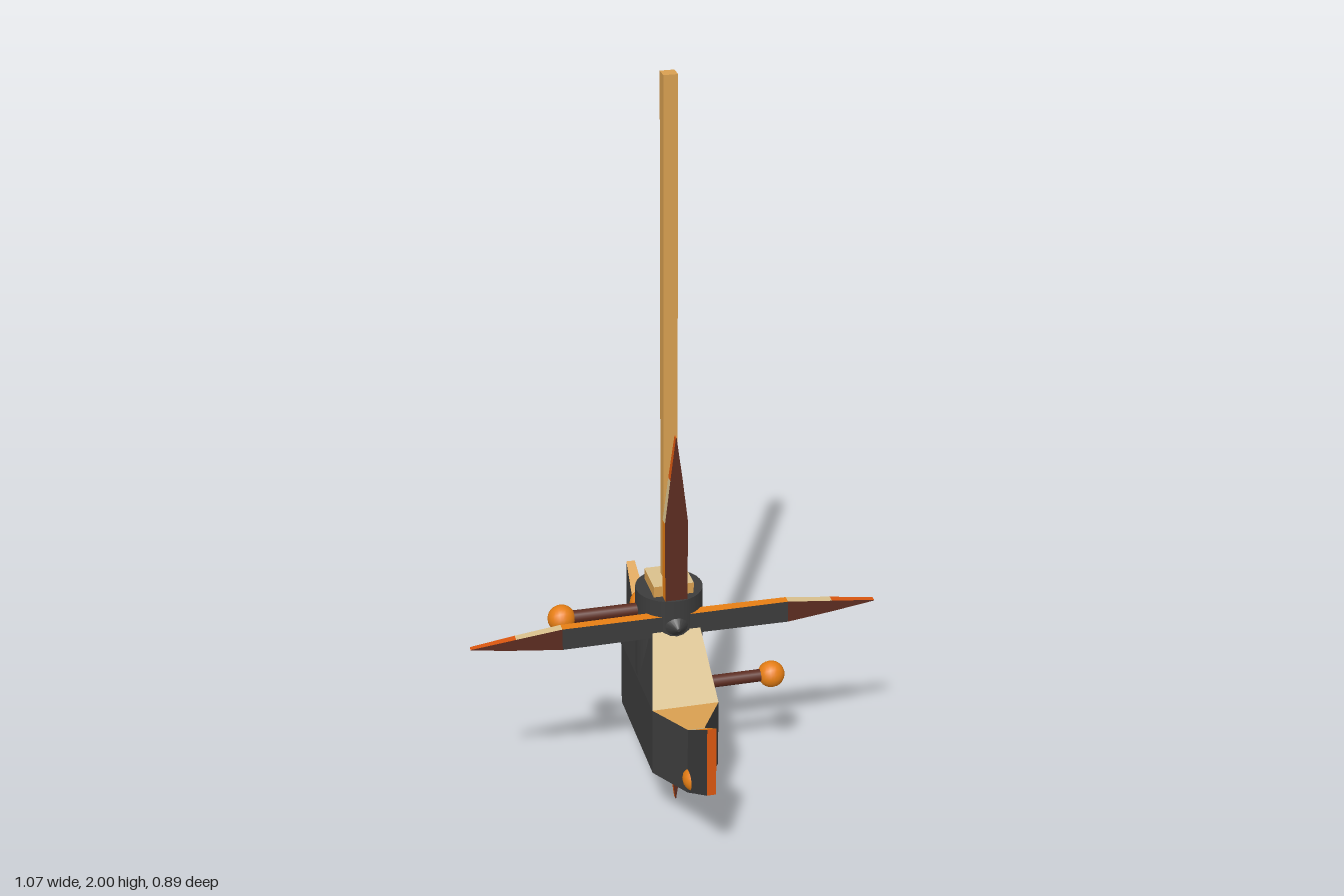
import * as THREE from 'three';

const mat = (name, color) => Object.assign(new THREE.MeshStandardMaterial({ color }), { name });
const dark = mat('charcoal', 0x3c3c3c);
const tan = mat('pale wood', 0xd9c08c);
const amber = mat('amber wood', 0xd89f50);
const orange = mat('orange', 0xe67e14);
const ember = mat('burnt orange', 0xd9560f);
const brown = mat('red brown', 0x5c2c20);

// Flat-faced loft through four-cornered sections; paint(segment, side) picks each face's material.
// Segment is 'start' or 'end' for the two caps.
function loft(name, sections, paint) {
  const faces = new Map();
  const add = (material, quad, centre) => {
    let [a, b, c, d] = quad;
    const n = c.clone().sub(a).cross(d.clone().sub(b));
    const mid = a.clone().add(b).add(c).add(d).multiplyScalar(0.25);
    if (n.dot(mid.sub(centre)) < 0) [b, d] = [d, b];
    if (!faces.has(material)) faces.set(material, []);
    for (const p of [a, b, c, a, c, d]) faces.get(material).push(p.x, p.y, p.z);
  };
  const S = sections.map((s) => s.map((p) => new THREE.Vector3(...p)));
  const centreOf = (i) => [...S[i], ...S[i + 1]]
    .reduce((sum, p) => sum.add(p), new THREE.Vector3()).multiplyScalar(1 / 8);
  for (let i = 0; i < S.length - 1; i++) {
    for (let k = 0; k < 4; k++) {
      const j = (k + 1) % 4;
      add(paint(i, k), [S[i][k], S[i][j], S[i + 1][j], S[i + 1][k]], centreOf(i));
    }
  }
  add(paint('start', 0), S[0], centreOf(0));
  add(paint('end', 0), S[S.length - 1], centreOf(S.length - 2));

  const geometry = new THREE.BufferGeometry();
  const positions = [], materials = [];
  for (const [material, list] of faces) {
    geometry.addGroup(positions.length / 3, list.length / 3, materials.length);
    for (const v of list) positions.push(v);
    materials.push(material);
  }
  geometry.setAttribute('position', new THREE.Float32BufferAttribute(positions, 3));
  geometry.computeVertexNormals();
  const mesh = new THREE.Mesh(geometry, materials);
  mesh.name = name;
  return mesh;
}

// Horizontal rectangle at height y; sides run back, +x, front, -x.
const level = (w, d, y) => [[-w, y, -d], [w, y, -d], [w, y, d], [-w, y, d]];

function cylinder(name, material, rTop, rBottom, height, sides) {
  const mesh = new THREE.Mesh(new THREE.CylinderGeometry(rTop, rBottom, height, sides), material);
  mesh.name = name;
  return mesh;
}

// Rod with a ball at its end, running from start along direction.
function handle(name, start, direction, length) {
  const g = new THREE.Group();
  g.name = name;
  const rod = cylinder('rod', brown, 0.017, 0.017, length, 16);
  rod.position.y = length / 2;
  const ball = new THREE.Mesh(new THREE.SphereGeometry(0.036, 16, 12), orange);
  ball.name = 'ball';
  ball.position.y = length;
  g.add(rod, ball);
  g.position.set(...start);
  g.quaternion.setFromUnitVectors(new THREE.Vector3(0, 1, 0), new THREE.Vector3(...direction));
  return g;
}

export function createModel() {
  const model = new THREE.Group();
  model.name = 'rotorHammer';

  // Hull with upturned ends: z, half width, bottom, top
  const hull = [
    [-0.445, 0.012, 0.255, 0.45], [-0.29, 0.022, 0.165, 0.355], [-0.18, 0.088, 0.165, 0.355],
    [0.18, 0.088, 0.165, 0.355], [0.29, 0.022, 0.165, 0.355],
    [0.35, 0.018, 0.2, 0.392], [0.445, 0.012, 0.255, 0.45],
  ];
  const hullTops = [amber, tan, tan, amber, tan, orange];
  model.add(loft('hull', hull.map(([z, w, b, t]) => [[-w, b, z], [w, b, z], [w, t, z], [-w, t, z]]),
    (i, k) => {
      if (i === 'start') return amber;
      if (i === 'end') return ember;
      return k === 0 ? orange : k === 2 ? hullTops[i] : dark;
    }));

  // Tapered shoulder with a round socket rising through it
  model.add(loft('shoulder', [level(0.088, 0.18, 0.355), level(0.056, 0.048, 0.58)],
    (i, k) => (k === 0 ? amber : k === 2 ? tan : dark)));
  const socket = cylinder('socket', dark, 0.088, 0.088, 0.255, 32);
  socket.position.y = 0.4875;
  model.add(socket);

  // Collar and long square pole
  model.add(loft('collar', [level(0.053, 0.053, 0.6), level(0.053, 0.053, 0.645)],
    (i, k) => (i === 'end' ? tan : k === 1 ? dark : amber)));
  model.add(loft('pole', [level(0.018, 0.018, 0.62), level(0.018, 0.018, 2)],
    (i, k) => (i === 'end' || k >= 2 ? amber : tan)));

  // Four-bladed rotor: radius, half width, back z, front z
  const rotor = new THREE.Group();
  rotor.name = 'rotor';
  rotor.position.y = 0.54;
  const blade = [
    [0.02, 0.029, 0.05, 0.08], [0.3, 0.03, 0.056, 0.081], [0.42, 0.016, 0.058, 0.08], [0.537, 0.001, 0.062, 0.077],
  ];
  for (let n = 0; n < 4; n++) {
    const mesh = loft('blade' + (n + 1),
      blade.map(([r, w, b, f]) => [[-w, r, b], [w, r, b], [w, r, f], [-w, r, f]]),
      (i, k) => {
        if (i === 'start') return dark;
        if (i === 'end') return ember;
        if (k === 0 || k === 2) return n % 2 && i === 0 ? dark : brown;
        return i === 0 ? orange : i === 1 ? tan : ember;
      });
    mesh.rotation.z = n * Math.PI / 2;
    rotor.add(mesh);
  }

  // Pointed hub in front and axle stub behind
  const hub = cylinder('hub', dark, 0.004, 0.036, 0.03, 16);
  hub.rotation.x = Math.PI / 2;
  hub.position.z = 0.092;
  const axle = cylinder('axle', dark, 0.034, 0.034, 0.19, 20);
  axle.rotation.x = Math.PI / 2;
  axle.position.z = -0.015;
  rotor.add(hub, axle);
  model.add(rotor);

  // Ball-ended handles on every side
  model.add(
    handle('leftHandle', [0.06, 0.303, -0.005], [1, 0, 0], 0.223),
    handle('rightHandle', [-0.06, 0.556, 0], [-1, 0, 0], 0.226),
    handle('backHandle', [-0.003, 0.406, -0.1], [0, 0, -1], 0.186),
    handle('frontHandle', [0, 0.208, 0.1], [0, 0, 1], 0.193),
  );
  return model;
}
